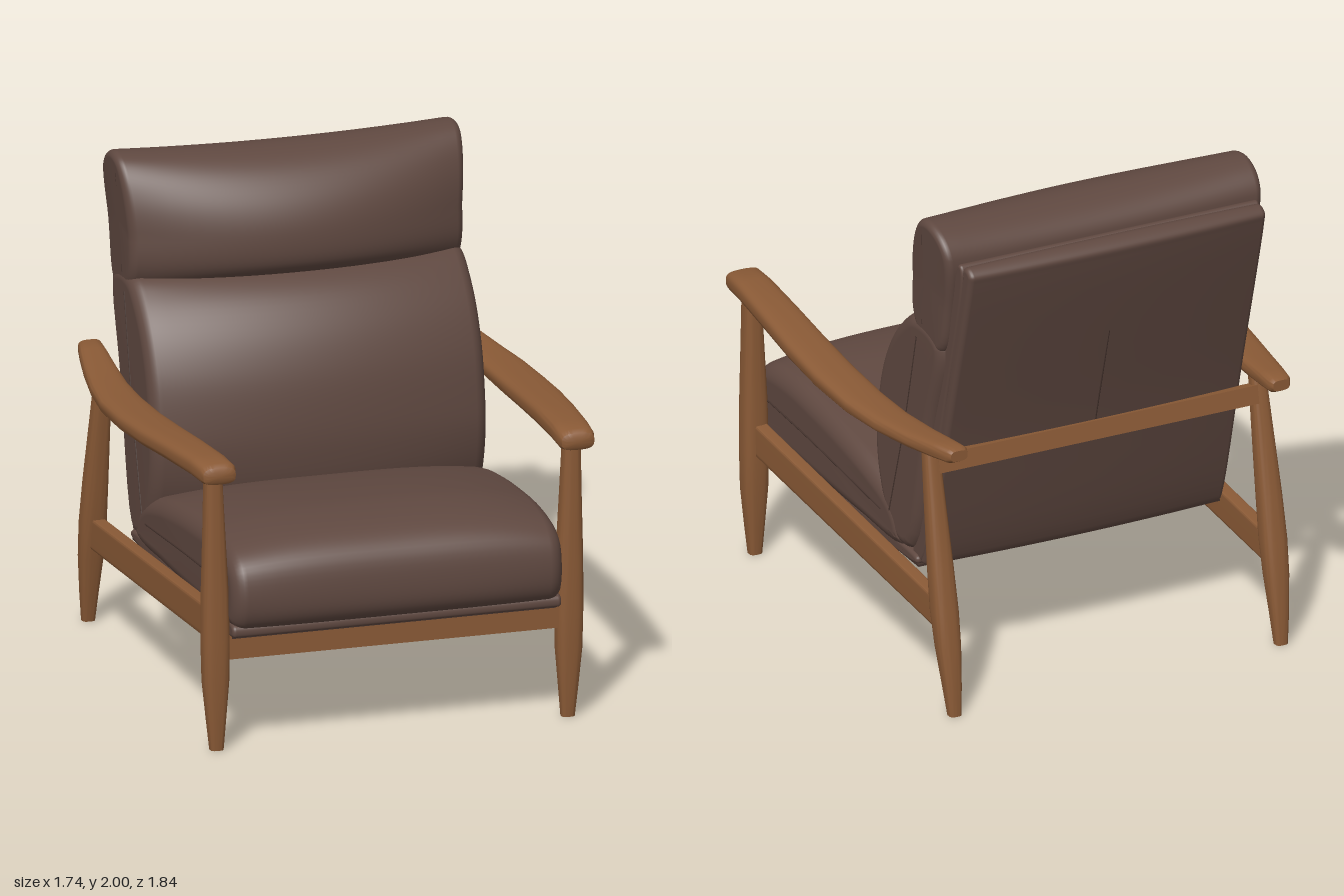
import * as THREE from 'three';
import { toCreasedNormals } from 'three/addons/utils/BufferGeometryUtils.js';

const wood = new THREE.MeshStandardMaterial({ color: 0x8a5a36 });
wood.name = 'warm wood';
const leather = new THREE.MeshStandardMaterial({ color: 0x5f4840 });
leather.name = 'brown leather';
const seamDark = new THREE.MeshStandardMaterial({ color: 0x46342e });
seamDark.name = 'dark seam';
const cloth = new THREE.MeshStandardMaterial({ color: 0x43322c });
cloth.name = 'underside cloth';

// Skin a row of closed rings and cap both ends
function loft(rings) {
  const n = rings[0].length;
  const pos = [], idx = [];
  for (const ring of rings) for (const p of ring) pos.push(p.x, p.y, p.z);
  for (let i = 0; i < rings.length - 1; i++) {
    for (let j = 0; j < n; j++) {
      const k = (j + 1) % n;
      const a = i * n + j, b = i * n + k, c = a + n, d = b + n;
      idx.push(a, c, b, b, c, d);
    }
  }
  for (const end of [0, rings.length - 1]) {
    const c = new THREE.Vector3();
    rings[end].forEach((p) => c.addScaledVector(p, 1 / n));
    const ci = pos.length / 3;
    pos.push(c.x, c.y, c.z);
    for (let j = 0; j < n; j++) {
      const a = end * n + j, b = end * n + ((j + 1) % n);
      if (end === 0) idx.push(ci, a, b);
      else idx.push(ci, b, a);
    }
  }
  const g = new THREE.BufferGeometry();
  g.setAttribute('position', new THREE.Float32BufferAttribute(pos, 3));
  g.setIndex(idx);
  g.computeVertexNormals();
  return g;
}

// Cushion: counter-clockwise side profiles [z, y] at the middle and at the ends,
// blended across x by the power bow, ends rounded by r
function cushion(mid, edge, W, r, bow = 2, flare = () => 1) {
  const stations = [];
  for (let i = 0; i <= 10; i++) stations.push([(W - r) * i / 10, 0]);
  for (let i = 1; i <= 6; i++) {
    const a = (i / 6) * Math.PI / 2;
    stations.push([W - r + r * Math.sin(a), r * (1 - Math.cos(a))]);
  }
  const all = [...stations.slice(1).reverse().map(([x, d]) => [-x, d]), ...stations];
  const N = 72;
  return loft(all.map(([x, inset]) => {
    const w = Math.abs(x / W) ** bow;
    const ctrl = mid.map((m, i) => new THREE.Vector3(
      0, m[1] + (edge[i][1] - m[1]) * w, m[0] + (edge[i][0] - m[0]) * w));
    const curve = new THREE.CatmullRomCurve3(ctrl, true, 'centripetal');
    const pts = [];
    for (let j = 0; j < N; j++) pts.push(curve.getPoint(j / N));
    return pts.map((p, j) => {
      const t = pts[(j + 1) % N].clone().sub(pts[(j + N - 1) % N]).normalize();
      return new THREE.Vector3(x * flare(p), p.y + t.z * inset, p.z - t.y * inset);
    });
  }));
}

// Wooden member: stations [x, y, z, halfWidth, halfDepth]; section lies flat (legs) or upright (arms, rails)
function member(stations, upright, power) {
  const N = 32;
  const sq = (v) => Math.sign(v) * Math.abs(v) ** (2 / power);
  const g = loft(stations.map(([x, y, z, hw, hd]) => Array.from({ length: N }, (_, j) => {
    const a = (j + 0.5) / N * Math.PI * 2;
    const u = hw * sq(Math.cos(a)), v = hd * sq(Math.sin(a));
    return upright ? new THREE.Vector3(x + u, y + v, z) : new THREE.Vector3(x + u, y, z + v);
  })));
  return toCreasedNormals(g, 0.7);
}

function seam(points, radius = 0.004) {
  const c = new THREE.CatmullRomCurve3(points.map((p) => new THREE.Vector3(...p)));
  return new THREE.TubeGeometry(c, 24, radius, 6);
}

export function createModel() {
  const chair = new THREE.Group();
  chair.name = 'loungeArmchair';
  const add = (name, geo, mat) => {
    const m = new THREE.Mesh(geo, mat);
    m.name = name;
    chair.add(m);
    return m;
  };

  // Upholstery
  add('seatCushion', cushion(
    [[0.86, 0.50], [0.91, 0.55], [0.92, 0.65], [0.89, 0.77], [0.80, 0.84], [0.6, 0.875], [0.4, 0.865],
      [0.15, 0.83], [-0.08, 0.78], [-0.28, 0.70], [-0.36, 0.6], [-0.37, 0.5], [0, 0.485], [0.5, 0.49]],
    [[0.85, 0.50], [0.89, 0.55], [0.90, 0.65], [0.87, 0.74], [0.79, 0.79], [0.6, 0.81], [0.4, 0.80],
      [0.15, 0.775], [-0.08, 0.735], [-0.28, 0.67], [-0.36, 0.59], [-0.37, 0.5], [0, 0.485], [0.5, 0.49]],
    0.69, 0.06, 3.2, (p) => 1 - 0.025 * Math.max(0, p.z)), leather);

  const base = [[0.84, 0.465], [0.865, 0.475], [0.865, 0.505], [0.84, 0.52], [0.2, 0.51], [-0.45, 0.50],
    [-0.48, 0.49], [-0.48, 0.47], [-0.45, 0.46], [0.2, 0.46]];
  add('seatBase', cushion(base, base, 0.67, 0.015), leather);
  const under = add('seatUnderside', new THREE.BoxGeometry(1.32, 0.008, 1.30), cloth);
  under.position.set(0, 0.457, 0.17);

  add('backCushion', cushion(
    [[-0.16, 0.58], [-0.085, 0.72], [-0.06, 0.88], [-0.065, 1.02], [-0.10, 1.2], [-0.17, 1.36], [-0.27, 1.48],
      [-0.40, 1.54], [-0.62, 1.53], [-0.70, 1.47], [-0.605, 1.1], [-0.45, 0.53], [-0.32, 0.5]],
    [[-0.24, 0.58], [-0.17, 0.72], [-0.14, 0.88], [-0.15, 1.02], [-0.19, 1.2], [-0.27, 1.36], [-0.37, 1.47],
      [-0.46, 1.53], [-0.62, 1.53], [-0.70, 1.47], [-0.605, 1.1], [-0.45, 0.53], [-0.35, 0.5]],
    0.685, 0.05), leather);

  add('headCushion', cushion(
    [[-0.36, 1.52], [-0.305, 1.58], [-0.30, 1.70], [-0.34, 1.82], [-0.42, 1.92], [-0.52, 1.975], [-0.62, 1.985],
      [-0.73, 1.945], [-0.78, 1.88], [-0.75, 1.65], [-0.69, 1.48], [-0.52, 1.48]],
    [[-0.49, 1.49], [-0.45, 1.57], [-0.45, 1.70], [-0.47, 1.83], [-0.51, 1.93], [-0.56, 1.985], [-0.64, 2.0],
      [-0.73, 1.965], [-0.78, 1.89], [-0.75, 1.65], [-0.69, 1.46], [-0.57, 1.45]],
    0.68, 0.03, 2, (p) => 1 + 0.035 * Math.max(0, (p.y - 1.7) / 0.3)), leather);

  // Back shell: a thin front board and a thicker rear panel
  const board = [[-0.49, 0.485], [-0.45, 0.475], [-0.42, 0.485], [-0.60, 1.16], [-0.78, 1.84],
    [-0.80, 1.88], [-0.82, 1.88], [-0.835, 1.84], [-0.67, 1.16]];
  add('backBoard', cushion(board, board, 0.655, 0.012), leather);
  add('backPanel', cushion(
    [[-0.66, 1.16], [-0.82, 1.83], [-0.83, 1.88], [-0.87, 1.895], [-0.92, 1.865], [-0.915, 1.82],
      [-0.735, 1.16], [-0.55, 0.49], [-0.52, 0.465], [-0.46, 0.475]],
    [[-0.66, 1.16], [-0.82, 1.83], [-0.83, 1.875], [-0.86, 1.885], [-0.895, 1.86], [-0.89, 1.82],
      [-0.71, 1.16], [-0.525, 0.49], [-0.50, 0.465], [-0.46, 0.475]],
    0.65, 0.02), leather);
  add('backVerticalSeam', seam([[0, 0.52, -0.557], [0, 1.16, -0.734], [0, 1.55, -0.84]], 0.004), seamDark);
  add('backCrossSeam', seam([-0.62, -0.3, 0, 0.3, 0.62].map(
    (x) => [x, 1.55, -0.841 + 0.025 * (x / 0.65) ** 2]), 0.003), seamDark);

  // Front rail, and rear rail leaning with the back legs
  const frontRail = add('frontRail', new THREE.BoxGeometry(1.40, 0.10, 0.05), wood);
  frontRail.position.set(0, 0.42, 0.795);
  const rearRail = add('rearRail', new THREE.BoxGeometry(1.40, 0.075, 0.05), wood);
  rearRail.position.set(0, 1.0, -0.706);
  rearRail.rotation.x = 0.2;

  for (const s of [1, -1]) {
    const side = s > 0 ? 'left' : 'right';

    // Side seams of the cushions
    add(side + 'SeatSeam', seam([[s * 0.676, 0.66, 0.82], [s * 0.683, 0.645, 0.4], [s * 0.689, 0.60, -0.22]]), seamDark);
    add(side + 'BackSeam', seam([[s * 0.684, 0.62, -0.28], [s * 0.684, 1.05, -0.41], [s * 0.684, 1.46, -0.51]]), seamDark);
    add(side + 'HeadSeam', seam([[s * 0.679, 1.53, -0.55], [s * 0.68, 1.7, -0.56], [s * 0.698, 1.93, -0.58]]), seamDark);

    // Legs, tapered towards both ends
    add(side + 'FrontLeg', member([
      [s * 0.715, 0, 0.795, 0.027, 0.024], [s * 0.717, 0.12, 0.795, 0.038, 0.034],
      [s * 0.719, 0.28, 0.794, 0.052, 0.045], [s * 0.72, 0.45, 0.793, 0.055, 0.049],
      [s * 0.722, 0.65, 0.794, 0.052, 0.047], [s * 0.726, 0.9, 0.795, 0.042, 0.043],
      [s * 0.73, 1.13, 0.795, 0.034, 0.038]], false, 3), wood);
    add(side + 'BackLeg', member([
      [s * 0.715, 0, -0.888, 0.026, 0.024], [s * 0.717, 0.12, -0.87, 0.036, 0.034],
      [s * 0.719, 0.28, -0.84, 0.048, 0.046], [s * 0.72, 0.42, -0.812, 0.052, 0.05],
      [s * 0.72, 0.6, -0.777, 0.048, 0.047], [s * 0.718, 0.85, -0.728, 0.04, 0.038],
      [s * 0.716, 1.09, -0.682, 0.032, 0.03]], false, 3), wood);

    // Sloping side rail
    add(side + 'SideRail', member([
      [s * 0.71, 0.503, 0.79, 0.027, 0.065], [s * 0.71, 0.385, -0.79, 0.027, 0.062]], true, 14), wood);

    // Armrest, bowed outwards
    add(side + 'Armrest', member([
      [s * 0.73, 1.145, 0.893, 0.05, 0.02], [s * 0.73, 1.147, 0.885, 0.066, 0.034],
      [s * 0.73, 1.15, 0.86, 0.073, 0.042], [s * 0.737, 1.152, 0.75, 0.077, 0.043],
      [s * 0.755, 1.138, 0.5, 0.083, 0.042], [s * 0.771, 1.118, 0.25, 0.088, 0.041],
      [s * 0.779, 1.099, 0, 0.089, 0.039], [s * 0.778, 1.088, -0.25, 0.086, 0.036],
      [s * 0.764, 1.086, -0.45, 0.077, 0.034], [s * 0.74, 1.094, -0.65, 0.067, 0.034],
      [s * 0.72, 1.107, -0.8, 0.057, 0.034], [s * 0.708, 1.115, -0.89, 0.048, 0.032],
      [s * 0.706, 1.117, -0.912, 0.036, 0.022]], true, 3.2), wood);
  }
  return chair;
}
